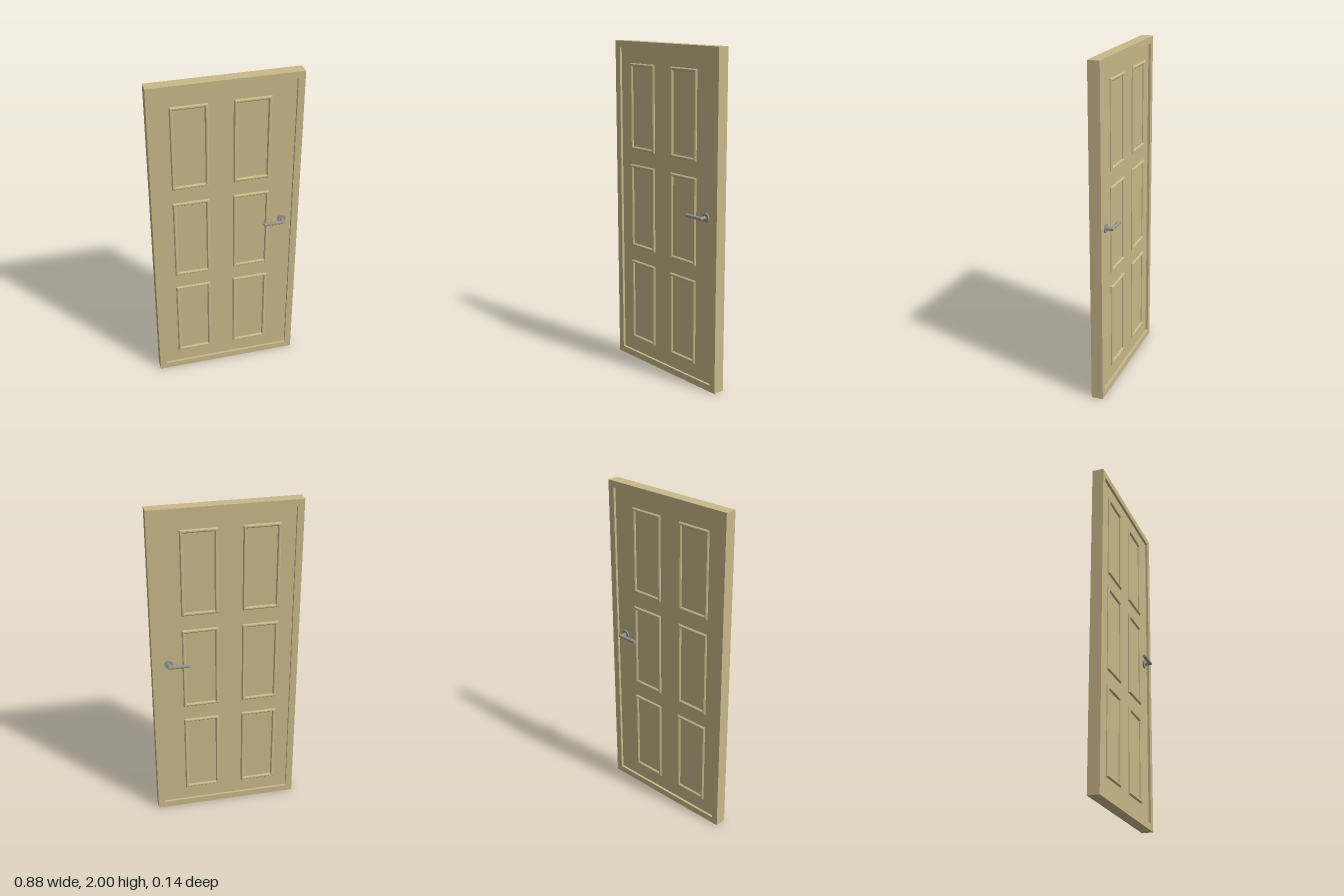
import * as THREE from 'three';

const WIDTH = 0.88, HEIGHT = 2, DEPTH = 0.07, BORDER = 0.04;
const LEAF = 0.02; // half thickness of the leaf

function rect(w, h, Type = THREE.Shape) {
  const s = new Type();
  s.moveTo(-w / 2, -h / 2);
  s.lineTo(w / 2, -h / 2);
  s.lineTo(w / 2, h / 2);
  s.lineTo(-w / 2, h / 2);
  s.closePath();
  return s;
}

// Rectangular ring, extruded along z
function ring(w, h, t, options) {
  const s = rect(w, h);
  s.holes.push(rect(w - 2 * t, h - 2 * t, THREE.Path));
  return new THREE.ExtrudeGeometry(s, options);
}

// Octagonal bar that leaves the door, turns a mitred corner and runs sideways
function leverGeometry(r, x0, x1, z0, z1) {
  const N = 8, pos = [], idx = [];
  const sections = [[x0, z0, 1, 0], [x0, z1, 1, 1], [x1, z1, 0, 1]];
  for (const [x, z, nx, nz] of sections) {
    for (let k = 0; k < N; k++) {
      const a = ((k + 0.5) / N) * Math.PI * 2;
      const u = r * Math.cos(a);
      pos.push(x + u * nx, r * Math.sin(a), z + u * nz);
    }
  }
  for (let i = 0; i < 2; i++) {
    for (let k = 0; k < N; k++) {
      const a = i * N + k, b = i * N + ((k + 1) % N);
      idx.push(a, b, a + N, b, b + N, a + N);
    }
  }
  for (let k = 1; k < N - 1; k++) idx.push(2 * N, 2 * N + k, 2 * N + k + 1);
  const g = new THREE.BufferGeometry();
  g.setAttribute('position', new THREE.Float32BufferAttribute(pos, 3));
  g.setIndex(idx);
  const flat = g.toNonIndexed();
  flat.computeVertexNormals();
  return flat;
}

export function createModel() {
  const model = new THREE.Group();
  model.name = 'door';
  const wood = new THREE.MeshStandardMaterial({ color: 0xc8b98a });
  wood.name = 'tan wood';
  const metal = new THREE.MeshStandardMaterial({ color: 0x98948a });
  metal.name = 'grey metal';

  const add = (parent, name, geometry, material, x = 0, y = 0, z = 0) => {
    const m = new THREE.Mesh(geometry, material);
    m.name = name;
    m.position.set(x, y, z);
    parent.add(m);
    return m;
  };

  // Outer frame and recessed leaf
  add(model, 'frame', ring(WIDTH, HEIGHT, BORDER, { depth: DEPTH, bevelEnabled: false }),
    wood, 0, HEIGHT / 2, -DEPTH / 2);
  add(model, 'leaf', new THREE.BoxGeometry(WIDTH - 2 * BORDER, HEIGHT - 2 * BORDER, 2 * LEAF),
    wood, 0, HEIGHT / 2, 0);

  // Shared geometry for both sides
  const bevel = 0.006;
  const moulding = ring(0.216, 0.52, 0.02, {
    depth: 0.01, bevelEnabled: true, bevelThickness: bevel,
    bevelSize: bevel, bevelOffset: -bevel, bevelSegments: 1,
  });
  const lever = leverGeometry(0.0108, 0.341, 0.223, LEAF - 0.005, 0.062);
  const rosette = new THREE.CylinderGeometry(0.026, 0.026, 0.012, 16);
  rosette.rotateX(Math.PI / 2);

  for (const side of ['front', 'back']) {
    const turn = side === 'back' ? Math.PI : 0;

    // Six raised panel mouldings
    const panels = new THREE.Group();
    panels.name = side + 'Panels';
    panels.position.y = HEIGHT / 2;
    panels.rotation.x = turn;
    for (const x of [-0.207, 0.151])
      for (const y of [-0.612, 0, 0.612])
        add(panels, 'panelMoulding', moulding, wood, x, y, 0.015);
    model.add(panels);

    // Lever handle with its round plate
    const handle = new THREE.Group();
    handle.name = side + 'Handle';
    handle.position.y = 1.045;
    handle.rotation.x = turn;
    add(handle, 'lever', lever, metal);
    add(handle, 'rosette', rosette, metal, 0.341, 0, LEAF + 0.003);
    model.add(handle);
  }
  return model;
}
